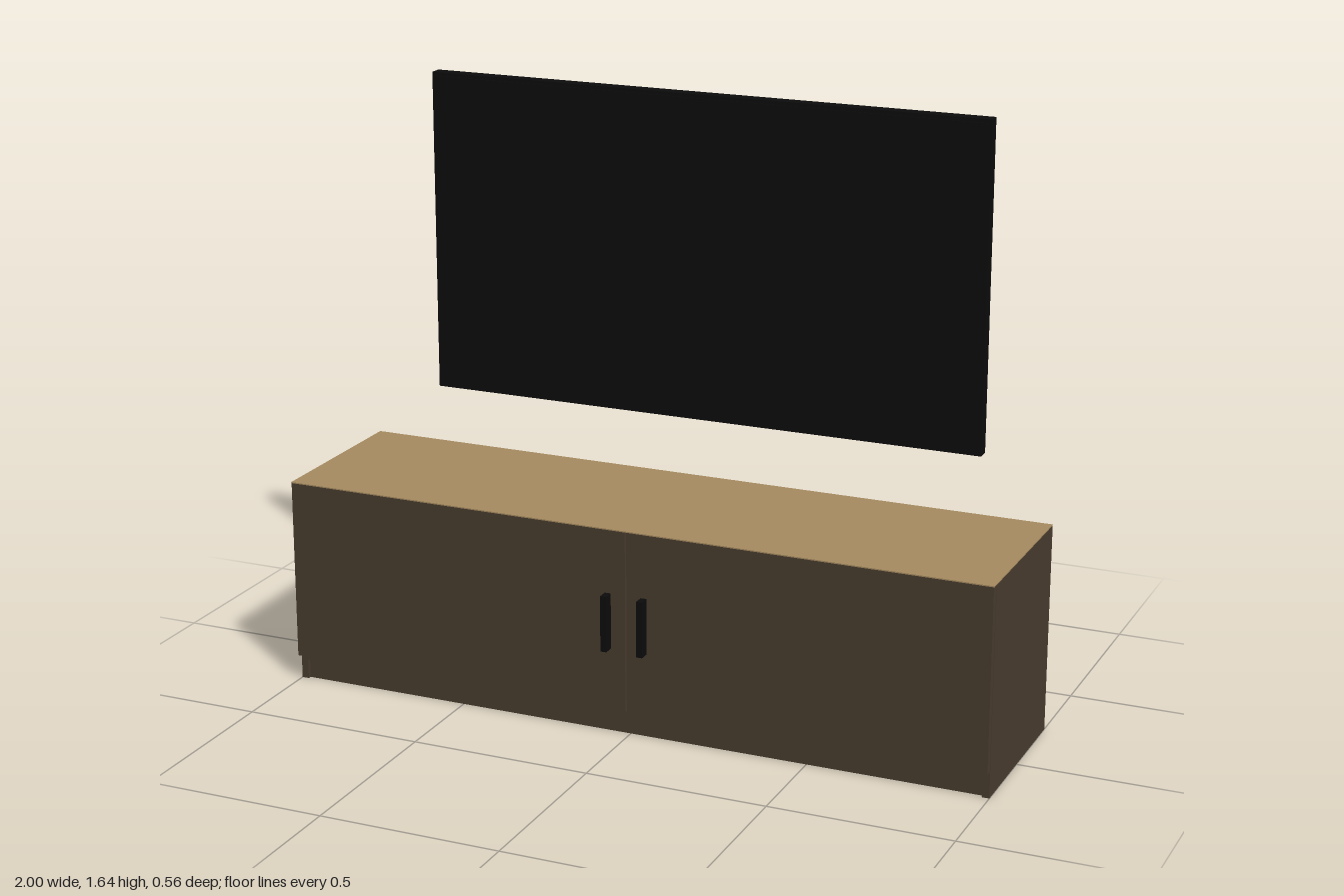
import * as THREE from 'three';

export function createModel() {
  const mat = (name, color) => {
    const m = new THREE.MeshStandardMaterial({ color });
    m.name = name;
    return m;
  };
  const walnut = mat('dark walnut', 0x4a3d2f);
  const oak = mat('light oak', 0xa68b60);
  const black = mat('black', 0x0c0c0c);

  const model = new THREE.Group();
  model.name = 'mediaUnit';

  // Box given by its lower and upper limits on each axis
  const box = (parent, name, material, [x0, x1], [y0, y1], [z0, z1]) => {
    const mesh = new THREE.Mesh(new THREE.BoxGeometry(x1 - x0, y1 - y0, z1 - z0), material);
    mesh.position.set((x0 + x1) / 2, (y0 + y1) / 2, (z0 + z1) / 2);
    mesh.name = name;
    parent.add(mesh);
    return mesh;
  };

  // Cabinet carcass, open under the raised floor
  const cabinet = new THREE.Group();
  cabinet.name = 'cabinet';
  model.add(cabinet);
  box(cabinet, 'topPanel', walnut, [-0.98, 0.98], [0.56, 0.577], [-0.25, 0.23]);
  box(cabinet, 'topSurface', oak, [-1, 1], [0.577, 0.58], [-0.25, 0.25]);
  box(cabinet, 'floorPanel', walnut, [-0.98, 0.98], [0.055, 0.075], [-0.25, 0.23]);
  box(cabinet, 'backPanel', walnut, [-0.98, 0.98], [0.075, 0.56], [-0.24, -0.228]);
  box(cabinet, 'plinth', walnut, [-0.98, 0.98], [0, 0.055], [0.2, 0.22]);

  // Mirrored sides, doors and handles
  for (const [side, s] of [['left', 1], ['right', -1]]) {
    const span = (a, b) => (s > 0 ? [a, b] : [-b, -a]);
    box(cabinet, side + 'SidePanel', walnut, span(0.98, 1), [0, 0.577], [-0.25, 0.23]);
    box(cabinet, side + 'Door', walnut, span(0.002, 0.999), [0.073, 0.577], [0.231, 0.25]);
    box(cabinet, side + 'Handle', black, span(0.043, 0.06), [0.247, 0.402], [0.25, 0.28]);
  }

  // Wall-mounted television
  const television = new THREE.Group();
  television.name = 'television';
  model.add(television);
  box(television, 'housing', black, [-0.8, 0.8], [0.742, 1.64], [-0.28, -0.244]);
  box(television, 'screen', black, [-0.79, 0.79], [0.752, 1.63], [-0.244, -0.24]);

  return model;
}
